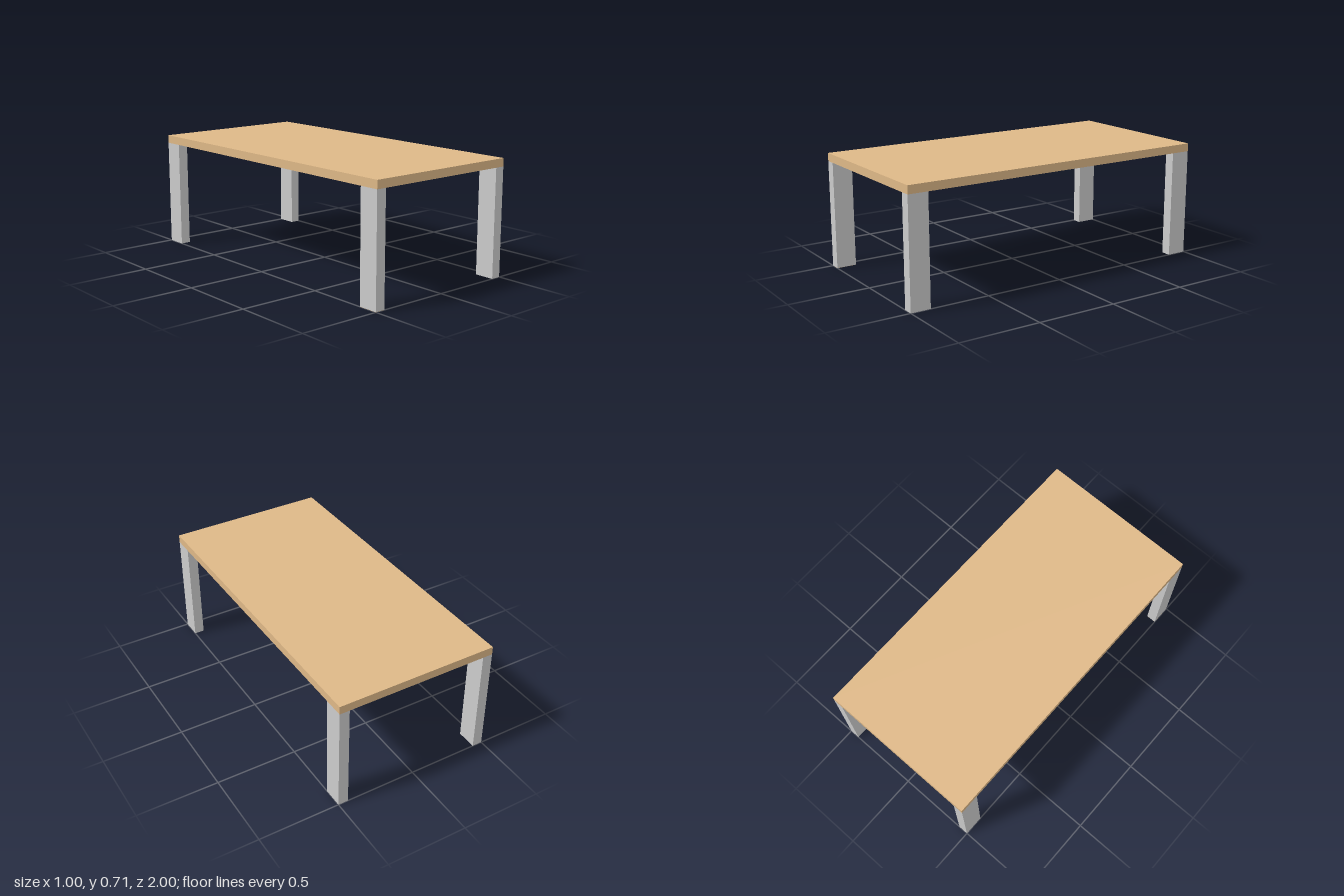
import * as THREE from 'three';

const WOOD = new THREE.MeshStandardMaterial({ color: 0xdeb887 });
const GREY = new THREE.MeshStandardMaterial({ color: 0xcccccc });

// Box standing on height y
function box(name, w, h, d, x, y, z, material) {
  const mesh = new THREE.Mesh(new THREE.BoxGeometry(w, h, d), material);
  mesh.name = name;
  mesh.position.set(x, y + h / 2, z);
  return mesh;
}

export function createModel() {
  const table = new THREE.Group();
  table.name = 'table';

  const width = 1, length = 2, thickness = 0.05, legHeight = 0.6625;
  const legW = 0.0625, legD = 0.125, pad = 0.001;

  table.add(box('tableTop', width, thickness, length, 0, legHeight, 0, WOOD));

  // Four legs flush with the corners
  for (const sx of [-1, 1]) {
    for (const sz of [-1, 1]) {
      const x = sx * (width - legW) / 2;
      const z = sz * (length - legD) / 2;
      const name = (sz > 0 ? 'front' : 'back') + (sx > 0 ? 'Left' : 'Right');
      // The front right leg ends in a thin wooden sole
      const sole = sx < 0 && sz > 0 ? pad : 0;
      table.add(box(name + 'Leg', legW, legHeight - sole, legD, x, sole, z, GREY));
      if (sole) table.add(box(name + 'Sole', legW, sole, legD, x, 0, z, WOOD));
    }
  }
  return table;
}
